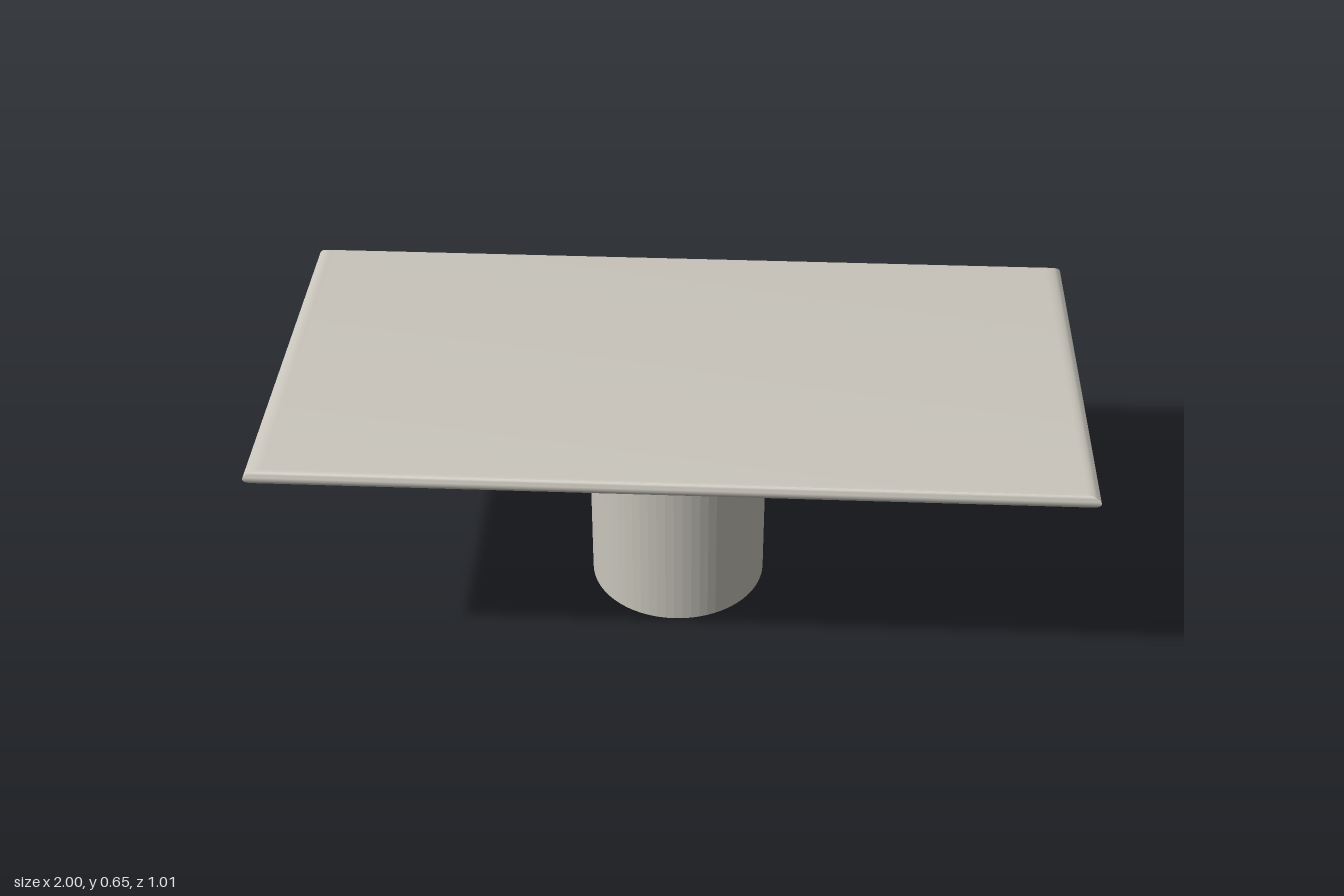
import * as THREE from 'three';
import { toCreasedNormals } from 'three/addons/utils/BufferGeometryUtils.js';

// Rectangular slab with mitred corners and a half-round edge, from stacked rectangular loops
function roundedSlab(halfX, halfZ, yLow, yHigh, insetX, insetZ, steps) {
  const positions = [], indices = [];
  const mid = (yLow + yHigh) / 2, halfY = (yHigh - yLow) / 2;
  for (let i = 0; i <= steps; i++) {
    const t = -Math.PI / 2 + (Math.PI * i) / steps;
    const x = halfX - insetX * (1 - Math.cos(t));
    const z = halfZ - insetZ * (1 - Math.cos(t));
    const y = mid + halfY * Math.sin(t);
    positions.push(x, y, z, x, y, -z, -x, y, -z, -x, y, z);
  }
  for (let i = 0; i < steps; i++) {
    for (let j = 0; j < 4; j++) {
      const a = i * 4 + j, b = i * 4 + ((j + 1) % 4);
      indices.push(a, b, b + 4, a, b + 4, a + 4);
    }
  }
  const top = steps * 4;
  indices.push(top, top + 1, top + 2, top, top + 2, top + 3); // upper face
  indices.push(0, 2, 1, 0, 3, 2); // lower face
  const geometry = new THREE.BufferGeometry();
  geometry.setAttribute('position', new THREE.Float32BufferAttribute(positions, 3));
  geometry.setIndex(indices);
  return toCreasedNormals(geometry, 0.6);
}

export function createModel() {
  const model = new THREE.Group();
  model.name = 'pedestalTable';

  const stone = new THREE.MeshStandardMaterial({ color: 0xc9c5bc });
  stone.name = 'warm grey';

  // Thin table top
  const tableTop = new THREE.Mesh(roundedSlab(1, 0.505, 0.608, 0.646, 0.045, 0.017, 14), stone);
  tableTop.name = 'tableTop';
  model.add(tableTop);

  // Faceted round pedestal, set slightly towards the front
  const column = new THREE.CylinderGeometry(0.227, 0.227, 0.61, 64);
  const pedestal = new THREE.Mesh(toCreasedNormals(column, 0.05), stone);
  pedestal.name = 'pedestal';
  pedestal.position.set(-0.002, 0.305, 0.008);
  model.add(pedestal);

  return model;
}
